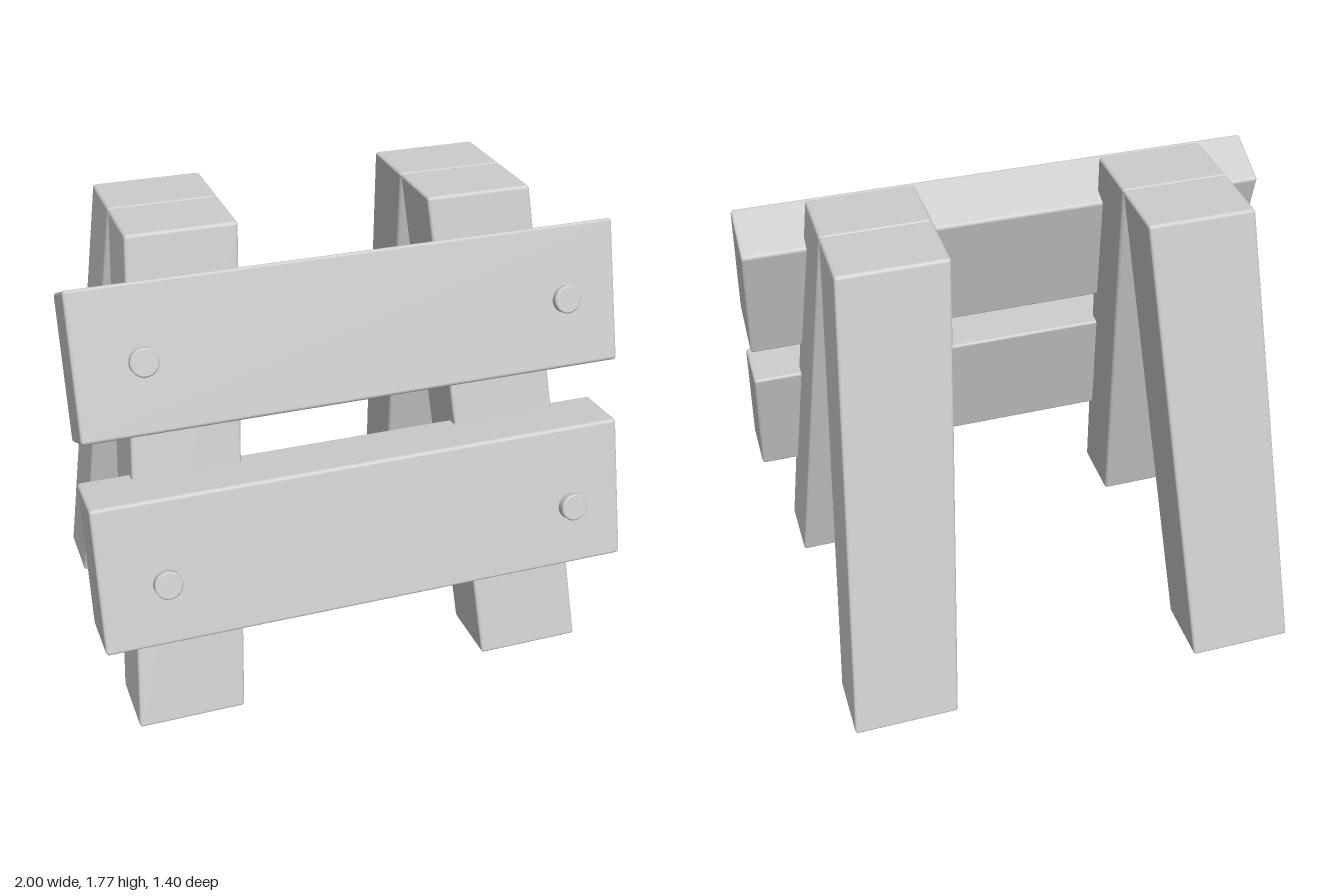
import * as THREE from 'three';
import { RoundedBoxGeometry } from 'three/addons/geometries/RoundedBoxGeometry.js';

const grey = new THREE.MeshStandardMaterial({ color: 0xcccccc });
grey.name = 'plain grey';

// Softly edged beam whose height and depth run along the given (possibly slanted) vectors
function beam(name, width, up, depth, centre) {
  const u = new THREE.Vector3(...up), d = new THREE.Vector3(...depth);
  const geometry = new RoundedBoxGeometry(width, u.length(), d.length(), 2, 0.012);
  geometry.applyMatrix4(new THREE.Matrix4().makeBasis(
    new THREE.Vector3(1, 0, 0), u.normalize(), d.normalize()).setPosition(...centre));
  const mesh = new THREE.Mesh(geometry, grey);
  mesh.name = name;
  return mesh;
}

// Round bolt head with a small bevel, its outer face centred on (x, y, z)
function bolt(name, x, y, z) {
  const profile = [[0, 0], [0.046, 0], [0.051, -0.005], [0.051, -0.06], [0, -0.06]];
  const points = profile.map(([r, h]) => new THREE.Vector2(r, h)).reverse();
  // split the rim corners so the cap stays crisp
  const crisp = points.flatMap((p, i) => (i > 0 && i < 4 ? [p, p.clone()] : [p]));
  const mesh = new THREE.Mesh(new THREE.LatheGeometry(crisp, 24), grey);
  mesh.name = name;
  mesh.position.set(x, y, z);
  mesh.quaternion.setFromUnitVectors(new THREE.Vector3(0, 1, 0),
    new THREE.Vector3(0, 0.26, 0.966).normalize());
  return mesh;
}

export function createModel() {
  const model = new THREE.Group();
  model.name = 'barricade';

  // Two A-frames, splayed outwards towards the ground
  for (const [side, s] of [['left', 1], ['right', -1]]) {
    const frame = new THREE.Group();
    frame.name = side + 'Frame';
    frame.add(
      beam('frontLeg', 0.4, [-0.135 * s, 1.77, -0.4], [0, 0, 0.265], [0.618 * s, 0.885, 0.291]),
      beam('backLeg', 0.4, [-0.135 * s, 1.77, 0.4], [0, 0, 0.265], [0.618 * s, 0.885, -0.371]));
    model.add(frame);
  }

  // Cross planks on the front legs
  model.add(
    beam('upperPlank', 2, [0, 0.507, -0.137], [0, 0.095, 0.202], [0, 1.379, 0.367]),
    beam('lowerPlank', 2, [0, 0.52, -0.129], [0, 0.012, 0.22], [0, 0.673, 0.532]));

  // Bolts through the planks into the legs
  for (const [side, x] of [['Left', 0.8], ['Right', -0.76]]) {
    model.add(bolt('upperBolt' + side, x, 1.425, 0.497), bolt('lowerBolt' + side, x, 0.65, 0.684));
  }
  return model;
}
